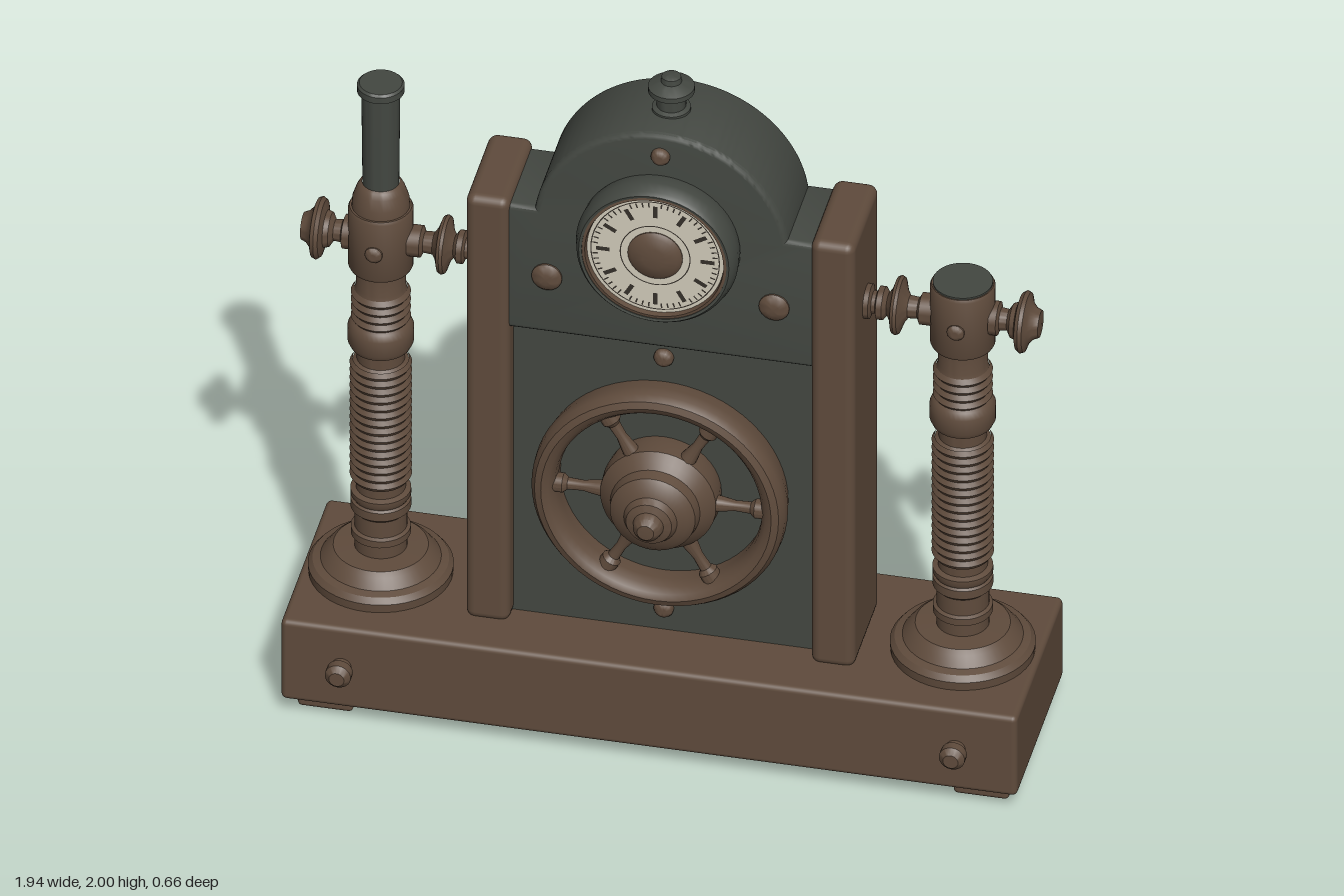
import * as THREE from 'three';
import { toCreasedNormals } from 'three/addons/utils/BufferGeometryUtils.js';
import { RoundedBoxGeometry } from 'three/addons/geometries/RoundedBoxGeometry.js';

const material = (name, color) => Object.assign(new THREE.MeshStandardMaterial({ color }), { name });

export function createModel() {
  const bronze = material('bronze', 0x5f4b3c);
  const iron = material('dark iron', 0x434741);
  const cream = material('cream enamel', 0xd0cab9);
  const ink = material('dial ink', 0x35302a);
  const model = new THREE.Group();
  model.name = 'clockMachine';

  const add = (parent, name, geometry, mat, x = 0, y = 0, z = 0) => {
    const mesh = new THREE.Mesh(geometry, mat);
    mesh.name = name;
    mesh.position.set(x, y, z);
    parent.add(mesh);
    return mesh;
  };
  const group = (parent, name, x = 0, y = 0, z = 0) => {
    const g = new THREE.Group();
    g.name = name;
    g.position.set(x, y, z);
    parent.add(g);
    return g;
  };
  // Turned part from [radius, height] pairs, listed from bottom to top
  const turned = (points, segments = 40, start = 0, length = Math.PI * 2) => toCreasedNormals(
    new THREE.LatheGeometry(points.map(([r, h]) => new THREE.Vector2(r, h)), segments, start, length), 0.6);
  const facing = (points, segments) => turned(points, segments).rotateX(Math.PI / 2);
  const sideways = (points, segments) => turned(points, segments).rotateZ(-Math.PI / 2);
  const block = (w, h, d, r) => new RoundedBoxGeometry(w, h, d, 3, r);
  const bolt = (parent, name, x, y, z, r, height = 0.025) => add(parent, name, facing(
    [[r, 0], [r, height * 0.4], [r * 0.8, height * 0.75], [r * 0.4, height], [0, height]], 20), bronze, x, y, z);

  // Plinth, feet and uprights
  add(model, 'base', block(1.93, 0.25, 0.545, 0.015), bronze, 0, 0.175, -0.007);
  for (const x of [-0.86, 0.86]) {
    for (const z of [-0.15, 0.145]) add(model, 'foot', block(0.145, 0.07, 0.145, 0.012), bronze, x, 0.035, z);
  }
  for (const s of [-1, 1]) {
    add(model, 'upright', block(0.115, 1.34, 0.295, 0.025), bronze, s * 0.4525, 0.96, -0.007);
  }

  // Lower panel and arched housing
  add(model, 'lowerPanel', new THREE.BoxGeometry(0.82, 0.94, 0.18), iron, 0, 0.76, -0.005);
  const b = 0.015;
  const arch = new THREE.Shape();
  const shoulder = Math.asin(0.035 / 0.32);
  arch.moveTo(-0.4, 1.22 + b);
  arch.lineTo(0.4, 1.22 + b);
  arch.lineTo(0.4, 1.595);
  arch.absarc(0, 1.56, 0.32, shoulder, Math.PI - shoulder, false);
  arch.lineTo(-0.4, 1.595);
  arch.closePath();
  const housing = new THREE.ExtrudeGeometry(arch, {
    depth: 0.26 - 2 * b, bevelThickness: b, bevelSize: b, bevelSegments: 3, curveSegments: 48,
  });
  housing.translate(0, 0, -0.135 + b);
  add(model, 'archedHousing', toCreasedNormals(housing, 0.6), iron);

  // Finial
  add(model, 'finial', turned([[0.05, 1.88], [0.05, 1.9], [0.038, 1.905], [0.038, 1.94], [0.06, 1.95],
    [0.06, 1.965], [0.04, 1.975], [0.027, 1.98], [0.025, 1.995], [0.015, 2], [0, 2]], 28), iron);

  // Dial on the front
  const dial = group(model, 'dial', 0, 1.56, 0);
  add(dial, 'bezel', facing([[0.2, 0.1], [0.21, 0.13], [0.213, 0.165], [0.205, 0.195], [0.197, 0.205],
    [0.19, 0.203], [0.19, 0.17]], 56), iron);
  add(dial, 'dialRing', facing([[0.192, 0.17], [0.192, 0.2], [0.182, 0.202], [0.178, 0.18]], 56), bronze);
  add(dial, 'dialFace', new THREE.CircleGeometry(0.188, 56), cream, 0, 0, 0.187);
  for (const r of [0.093, 0.17]) add(dial, 'dialCircle', new THREE.RingGeometry(r - 0.003, r, 56), ink, 0, 0, 0.189);
  for (let i = 0; i < 60; i++) {
    const major = i % 5 === 0;
    const tick = new THREE.PlaneGeometry(major ? 0.012 : 0.004, major ? 0.036 : 0.014);
    tick.translate(0, major ? 0.137 : 0.158, 0).rotateZ(i * Math.PI / 30);
    add(dial, 'dialTick', tick, ink, 0, 0, 0.189);
  }
  add(dial, 'dialKnob', facing([[0.072, 0.18], [0.072, 0.19], [0.06, 0.2], [0.03, 0.207], [0, 0.208]], 32), bronze);

  // Wheel and bolts, alike on the front and the back
  for (const angle of [0, Math.PI]) {
    const side = group(model, angle ? 'backFittings' : 'frontFittings', 0, 0, -0.005);
    side.rotation.y = angle;
    const wheel = group(side, 'wheel', 0, 0.76, 0);
    add(wheel, 'wheelRim', facing([[0.272, 0.085], [0.325, 0.085], [0.334, 0.13], [0.332, 0.16], [0.32, 0.178],
      [0.302, 0.185], [0.285, 0.178], [0.272, 0.16], [0.268, 0.13], [0.272, 0.085]], 64), bronze);
    add(wheel, 'wheelHub', facing([[0.15, 0.085], [0.155, 0.12], [0.152, 0.16], [0.135, 0.18], [0.118, 0.195],
      [0.112, 0.225], [0.095, 0.24], [0.07, 0.25], [0.06, 0.268], [0.04, 0.275], [0.035, 0.295],
      [0.022, 0.308], [0, 0.31]], 40), bronze);
    for (let i = 0; i < 6; i++) {
      const spoke = turned([[0.026, 0.12], [0.02, 0.165], [0.014, 0.2], [0.016, 0.24], [0.026, 0.252], [0.026, 0.285]], 16);
      spoke.rotateZ(Math.PI / 2 + i * Math.PI / 3);
      add(wheel, 'wheelSpoke', spoke, bronze, 0, 0, 0.14);
    }
    for (const y of [0.37, 1.165]) bolt(side, 'panelBolt', 0, y, 0.088, 0.026);
    bolt(side, 'housingBolt', 0, 1.83, 0.126, 0.025);
    for (const s of [-1, 1]) {
      bolt(side, 'housingBolt', s * 0.298, 1.4, 0.126, 0.04, 0.022);
      add(side, 'baseBolt', facing([[0.026, 0.26], [0.026, 0.285], [0.034, 0.29], [0.034, 0.315],
        [0.02, 0.33], [0, 0.33]], 20), bronze, s * 0.805, 0.18, 0);
    }
  }

  // Threaded section: an alternating zigzag profile
  const thread = (from, to, r, turns, depth) => {
    const points = [];
    for (let i = 0; i <= turns * 2; i++) points.push([r - (i % 2 ? 0 : depth), from + (to - from) * i / (turns * 2)]);
    return points;
  };

  // Side columns: the one on the model's right carries a tall pipe
  for (const s of [-1, 1]) {
    const column = group(model, s < 0 ? 'rightColumn' : 'leftColumn', s * 0.763, 0, -0.005);
    add(column, 'columnFoot', turned([[0.185, 0.295], [0.187, 0.325], [0.175, 0.34], [0.155, 0.346], [0.135, 0.372],
      [0.122, 0.383], [0.068, 0.385]], 44), bronze);
    add(column, 'lowerShaft', turned([[0.068, 0.38], [0.068, 0.42], [0.077, 0.425], [0.077, 0.445], [0.068, 0.45],
      [0.068, 0.5], [0.078, 0.51], [0.078, 0.535], [0.072, 0.54], [0.078, 0.55], [0.078, 0.565],
      [0.064, 0.57], [0.064, 0.61]]), bronze);
    const long = thread(0.6, 0.975, 0.08, 15, 0.008);
    add(column, 'longThread', turned(long, 32, Math.PI + 0.8, Math.PI * 2 - 1.6), bronze);
    add(column, 'wornThread', turned(long, 10, Math.PI - 0.8, 1.6), iron);
    add(column, 'collar', turned([[0.072, 0.97], [0.062, 0.978], [0.062, 1.015], [0.078, 1.02], [0.085, 1.035],
      [0.085, 1.08], [0.077, 1.098], [0.068, 1.105]]), bronze);
    add(column, 'shortThread', turned(thread(1.1, 1.2, 0.077, 4, 0.009)), bronze);
    add(column, 'neck', turned([[0.068, 1.195], [0.064, 1.21], [0.064, 1.28]]), bronze);
    add(column, 'head', turned([[0, 1.27], [0.08, 1.27], [0.084, 1.278], [0.084, 1.452], [0.08, 1.46], [0, 1.46]]), bronze);
    for (const angle of [0, Math.PI]) bolt(group(column, 'headBoltMount'), 'headBolt', 0, 1.36, 0.08, 0.023, 0.018)
      .parent.rotation.y = angle;
    if (s < 0) {
      add(column, 'pipeSocket', turned([[0.075, 1.455], [0.073, 1.485], [0.063, 1.515], [0.055, 1.53], [0.048, 1.535]]), bronze);
      add(column, 'pipe', turned([[0.047, 1.52], [0.05, 1.82], [0.061, 1.823], [0.061, 1.842], [0.055, 1.848], [0, 1.848]]), iron);
    } else {
      add(column, 'headCap', turned([[0.077, 1.458], [0.077, 1.465], [0, 1.465]]), iron);
    }

    // Outer thumb knob and inner link to the upright
    const knobs = group(column, 'sideKnobs', 0, 1.36, 0);
    if (s < 0) knobs.rotation.y = Math.PI;
    add(knobs, 'outerKnob', sideways([[0.045, 0.075], [0.045, 0.095], [0.03, 0.1], [0.028, 0.12], [0.045, 0.13],
      [0.05, 0.143], [0.075, 0.15], [0.082, 0.16], [0.078, 0.17], [0.055, 0.178], [0.042, 0.19],
      [0.036, 0.204], [0, 0.207]], 32), bronze);
    add(knobs, 'innerLink', sideways([[0.046, -0.255], [0.046, -0.24], [0.03, -0.235], [0.03, -0.225], [0.044, -0.22],
      [0.044, -0.205], [0.03, -0.195], [0.045, -0.185], [0.074, -0.176], [0.078, -0.168], [0.074, -0.16],
      [0.045, -0.15], [0.03, -0.14], [0.028, -0.115], [0.042, -0.108], [0.042, -0.075]], 32), bronze);
  }
  return model;
}
